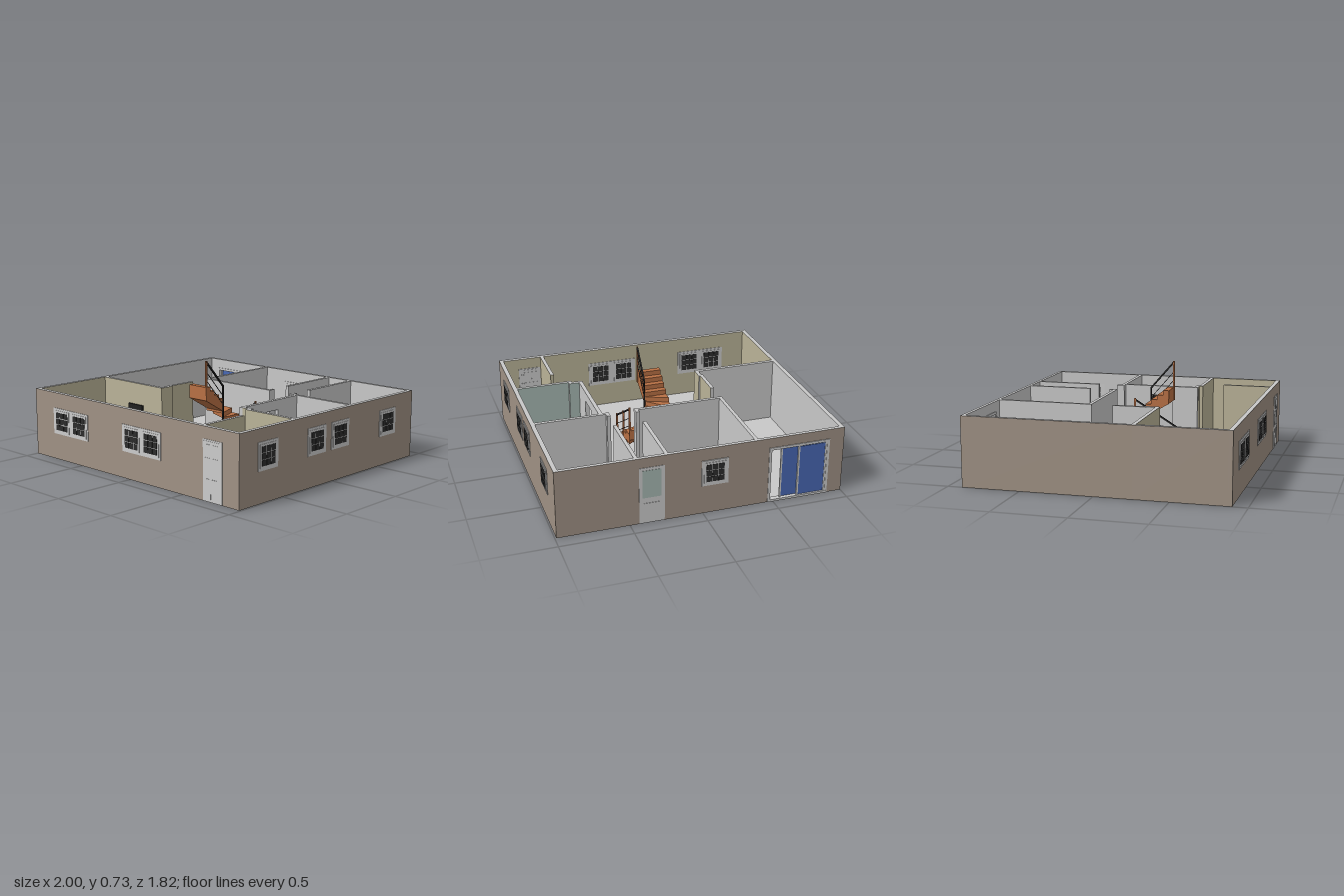
import * as THREE from 'three';

const mat = (name, color) => {
  const m = new THREE.MeshStandardMaterial({ color });
  m.name = name;
  return m;
};

export function createModel() {
  const root = new THREE.Group();
  root.name = 'houseFloor';
  const taupe = mat('taupe render', 0x9f9184);
  const grey = mat('grey plaster', 0xc8c8c8);
  const beige = mat('beige plaster', 0xbab398);
  const green = mat('pale green', 0xa6b8b2);
  const white = mat('white trim', 0xcbcbcb);
  const dark = mat('dark glass', 0x2c2c2c);
  const blue = mat('blue glass', 0x4868b4);
  const wood = mat('wood', 0xb87044);
  const black = mat('black metal', 0x202020);

  const add = (parent, name, geo, material) => {
    const m = new THREE.Mesh(geo, material);
    m.name = name;
    parent.add(m);
    return m;
  };
  // box given by its limits
  const block = (parent, name, x0, x1, y0, y1, z0, z1, material) => {
    const m = add(parent, name, new THREE.BoxGeometry(x1 - x0, y1 - y0, z1 - z0), material);
    m.position.set((x0 + x1) / 2, (y0 + y1) / 2, (z0 + z1) / 2);
    return m;
  };
  // wall with its own colour on each side
  const H = 0.48;
  const wall = (name, x0, x1, z0, z1, s = {}, y0 = 0, y1 = H) =>
    block(root, name, x0, x1, y0, y1, z0, z1,
      [s.px || grey, s.nx || grey, grey, grey, s.pz || grey, s.nz || grey]);

  block(root, 'floor', -0.995, 0.985, 0, 0.01, -0.895, 0.895, grey);

  // outer walls; the back one leaves the patio opening free
  wall('frontWall', -1, 0.99, 0.87, 0.9, { px: taupe, nx: taupe, pz: taupe, nz: beige });
  const backSides = { px: taupe, nx: taupe, nz: taupe };
  wall('backWall', -1, -0.895, -0.9, -0.875, { nx: taupe, nz: taupe });
  wall('backWall', -0.46, 0.99, -0.9, -0.875, { px: taupe, nz: taupe });
  wall('backLintel', -0.895, -0.46, -0.9, -0.875, backSides, 0.41, H);
  wall('rightWall', -1, -0.97, -0.875, 0.26, { nx: taupe });
  wall('rightWall', -1, -0.97, 0.26, 0.87, { nx: taupe, px: beige });
  wall('leftWall', 0.96, 0.99, -0.875, 0.365, { px: taupe });
  wall('leftWall', 0.96, 0.99, 0.365, 0.87, { px: taupe, nx: beige });

  // inner walls: x0, x1, z0, z1, side colours
  [
    [-0.385, -0.36, -0.875, -0.2],
    [-0.36, 0.26, -0.225, -0.2],
    [0.235, 0.26, -0.255, -0.225],
    [0.235, 0.26, -0.875, -0.405],
    [0.44, 0.465, -0.875, -0.4],
    [0.44, 0.465, -0.255, -0.225],
    [0.44, 0.96, -0.225, -0.2],
    [0.485, 0.512, -0.2, 0],
    [0.485, 0.512, 0.16, 0.355],
    [0.512, 0.585, 0.33, 0.356, { nz: green, pz: beige }],
    [0.56, 0.96, 0.355, 0.38, { nz: green, pz: beige, nx: beige }],
    [0.655, 0.68, 0.52, 0.87, { px: beige, nx: beige, nz: beige }],
    [-0.97, -0.35, 0.25, 0.277, { pz: beige, px: beige }],
    [-0.385, -0.36, -0.05, 0.19, { px: beige }],
    [-0.375, -0.349, 0.17, 0.25, { px: beige }],
  ].forEach(([x0, x1, z0, z1, s]) => wall('innerWall', x0, x1, z0, z1, s));
  wall('innerLintel', 0.485, 0.512, 0, 0.16, {}, 0.41, H);

  // windows: frame through the wall, sash and 3 x 3 panes on both faces
  const windowUnit = (name, x, y, z, turn, w, h, centres) => {
    const g = new THREE.Group();
    g.name = name;
    g.position.set(x, y, z);
    g.rotation.y = turn;
    root.add(g);
    block(g, 'frame', -w / 2, w / 2, -h / 2, h / 2, -0.019, 0.019, white);
    for (const c of centres) for (const f of [-1, 1]) {
      const zf = f * 0.02;
      block(g, 'sash', c - 0.077, c + 0.077, -0.077, 0.077, zf - 0.002, zf + 0.002, white);
      for (let i = -1; i <= 1; i++) for (let j = -1; j <= 1; j++) {
        const px = c + i * 0.0425, py = j * 0.0435;
        block(g, 'pane', px - 0.0195, px + 0.0195, py - 0.0195, py + 0.0195,
          zf - 0.004, zf + 0.004, dark);
      }
    }
  };
  for (const x of [-0.61, 0.118])
    windowUnit('frontWindow', x, 0.278, 0.885, 0, 0.372, 0.185, [-0.093, 0.093]);
  for (const [z, y] of [[0.64, 0.302], [0.165, 0.307], [-0.078, 0.307], [-0.607, 0.3]])
    windowUnit('leftWindow', 0.975, y, z, Math.PI / 2, 0.185, 0.185, [0]);
  windowUnit('backWindow', -0.08, 0.3, -0.888, Math.PI, 0.185, 0.185, [0]);

  // front door with raised panels
  const frontDoor = new THREE.Group();
  frontDoor.name = 'frontDoor';
  root.add(frontDoor);
  block(frontDoor, 'frame', 0.685, 0.85, 0.002, 0.4, 0.866, 0.903, white);
  block(frontDoor, 'leaf', 0.695, 0.83, 0.004, 0.39, 0.864, 0.905, white);
  for (const x of [0.71, 0.77]) for (const [y0, y1] of [[0.02, 0.15], [0.18, 0.285], [0.305, 0.37]])
    block(frontDoor, 'panel', x, x + 0.045, y0, y1, 0.862, 0.908, white);

  // back door with glazed upper half
  const backDoor = new THREE.Group();
  backDoor.name = 'backDoor';
  root.add(backDoor);
  block(backDoor, 'frame', 0.265, 0.437, 0.002, 0.41, -0.903, -0.87, white);
  block(backDoor, 'glass', 0.287, 0.415, 0.19, 0.39, -0.905, -0.868, green);
  block(backDoor, 'panel', 0.295, 0.407, 0.03, 0.15, -0.906, -0.867, white);

  // sliding patio door, partly open
  const patio = new THREE.Group();
  patio.name = 'patioDoor';
  root.add(patio);
  for (const x of [-0.895, -0.478]) block(patio, 'jamb', x, x + 0.018, 0, 0.41, -0.904, -0.87, white);
  block(patio, 'head', -0.895, -0.46, 0.392, 0.41, -0.905, -0.869, white);
  block(patio, 'sill', -0.895, -0.46, 0, 0.016, -0.905, -0.869, white);
  for (const [x0, x1, z] of [[-0.877, -0.67, -0.896], [-0.69, -0.55, -0.883]]) {
    block(patio, 'glass', x0 + 0.01, x1 - 0.01, 0.02, 0.385, z - 0.002, z + 0.002, blue);
    for (const x of [x0, x1 - 0.012]) block(patio, 'stile', x, x + 0.012, 0.016, 0.392, z - 0.005, z + 0.005, white);
  }

  // wall television
  block(root, 'television', -0.69, -0.54, 0.225, 0.325, 0.283, 0.297, black);
  block(root, 'televisionMount', -0.63, -0.6, 0.26, 0.29, 0.275, 0.285, black);

  // staircase: straight flight, eight winders, straight flight
  const stairs = new THREE.Group();
  stairs.name = 'staircase';
  root.add(stairs);
  const rise = 0.034, go = 0.0425, cx = 0.09, cz = 0.1, half = 0.163;
  const flight = (name, xRight, zStart, dir, first, under) => {
    const pts = [new THREE.Vector2(zStart, rise * first)];
    for (let i = 0; i < 4; i++) {
      const y = rise * (first + i + 1);
      pts.push(new THREE.Vector2(zStart + dir * go * i, y), new THREE.Vector2(zStart + dir * go * (i + 1), y));
    }
    under.forEach(([z, y]) => pts.push(new THREE.Vector2(z, y)));
    const geo = new THREE.ExtrudeGeometry(new THREE.Shape(pts), { depth: half, bevelEnabled: false });
    geo.rotateY(-Math.PI / 2);
    add(stairs, name, geo, wood).position.x = xRight;
  };
  flight('lowerFlight', cx + half, 0.27, -1, 0, [[0.1, 0.06], [0.2, 0]]);
  flight('upperFlight', cx, 0.1, 1, 12, [[0.27, 0.45], [0.1, 0.35]]);
  for (let i = 0; i < 8; i++) {
    const corner = (k) => {
      const a = (k * Math.PI) / 8;
      const r = half / Math.max(Math.abs(Math.cos(a)), Math.abs(Math.sin(a)));
      return new THREE.Vector2(cx + r * Math.cos(a), -cz + r * Math.sin(a));
    };
    const shape = new THREE.Shape([new THREE.Vector2(cx, -cz), corner(i), corner(i + 1)]);
    const geo = new THREE.ExtrudeGeometry(shape, { depth: 0.075, bevelEnabled: false });
    geo.rotateX(-Math.PI / 2);
    add(stairs, 'winder', geo, wood).position.y = rise * (i + 5) - 0.075;
  }

  // banisters
  const bar = (name, a, b, t, material) => {
    const p = new THREE.Vector3(...a), q = new THREE.Vector3(...b);
    const m = add(stairs, name, new THREE.BoxGeometry(t, t, p.distanceTo(q)), material);
    m.position.copy(p).add(q).multiplyScalar(0.5);
    m.lookAt(q);
  };
  const xo = cx + half - 0.003;
  bar('upperPost', [cx, 0.45, 0.268], [cx, 0.73, 0.268], 0.011, wood);
  bar('innerPost', [cx, 0.06, cz], [cx, 0.535, cz], 0.009, black);
  bar('upperRail', [cx, 0.725, 0.268], [cx, 0.53, cz], 0.011, black);
  for (const d of [0.07, 0.13])
    bar('upperThinRail', [cx, 0.725 - d, 0.268], [cx, 0.53 - d, cz], 0.004, black);
  for (const [z, y0, y1] of [[0.268, 0, 0.22], [0.1, 0.1, 0.32], [-0.062, 0.2, 0.42]])
    bar('outerPost', [xo, y0, z], [xo, y1, z], 0.012, wood);
  bar('outerRail', [xo, 0.21, 0.268], [xo, 0.41, -0.062], 0.011, black);
  for (const d of [0.07, 0.13])
    bar('outerThinRail', [xo, 0.21 - d, 0.268], [xo, 0.41 - d, -0.062], 0.004, black);

  return root;
}
